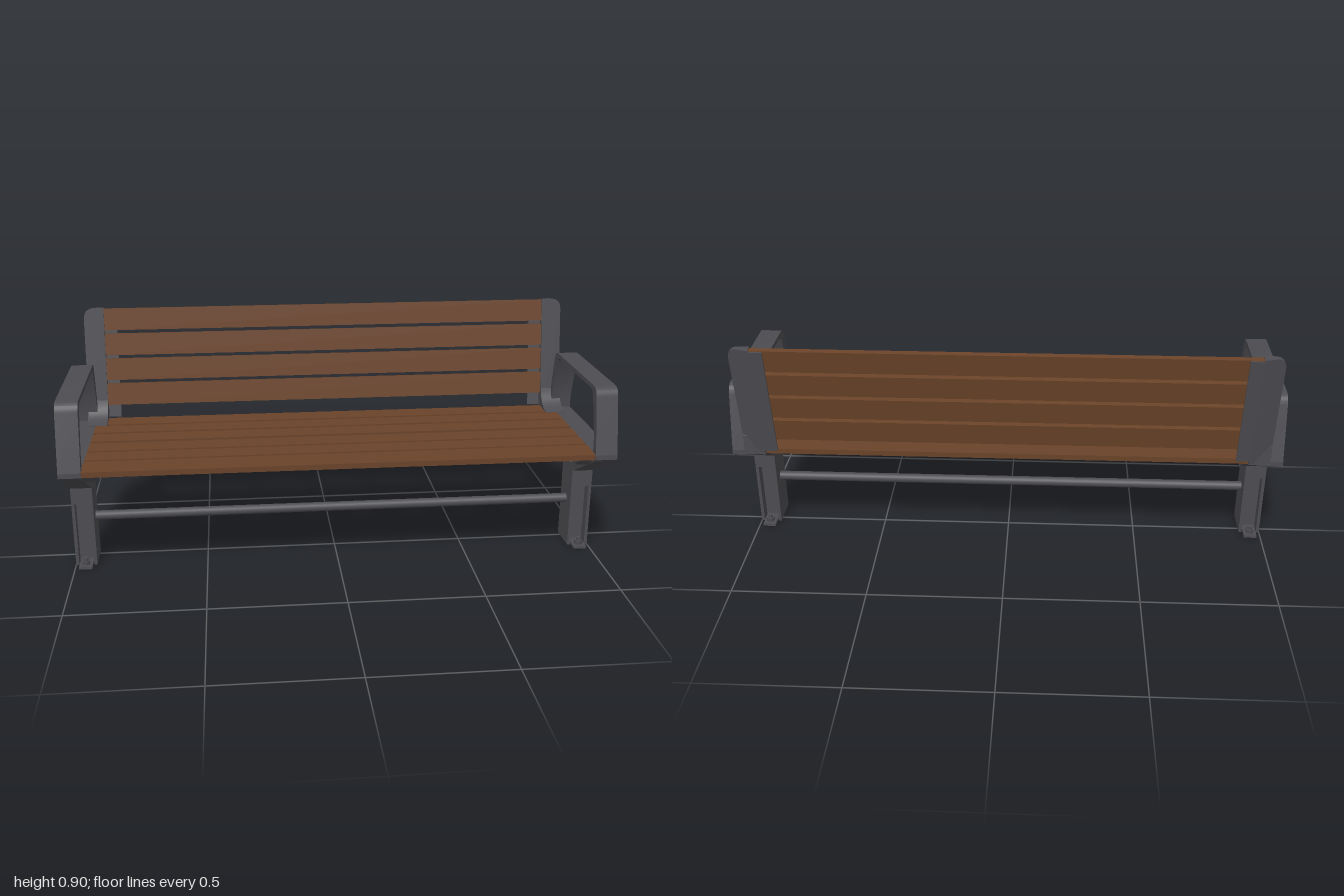
import * as THREE from 'three';
import { toCreasedNormals } from 'three/addons/utils/BufferGeometryUtils.js';

const metal = new THREE.MeshStandardMaterial({ color: 0x4d4c51 });
metal.name = 'charcoal metal';
const wood = new THREE.MeshStandardMaterial({ color: 0x6a4329 });
wood.name = 'brown wood';

const MID = 0.0375; // z of the leg centre line

function add(parent, name, geometry, material, x = 0, y = 0, z = 0) {
  const mesh = new THREE.Mesh(geometry, material);
  mesh.name = name;
  mesh.position.set(x, y, z);
  parent.add(mesh);
  return mesh;
}

function box(parent, name, material, w, h, d, x, y, z) {
  return add(parent, name, new THREE.BoxGeometry(w, h, d), material, x, y, z);
}

// Extrude a side profile drawn in (z, y) across a width in x, centred on x = 0
function sideExtrude(shape, width) {
  const g = new THREE.ExtrudeGeometry(shape, { depth: width, bevelEnabled: false, curveSegments: 10 });
  g.translate(0, 0, -width / 2);
  g.rotateY(-Math.PI / 2);
  return toCreasedNormals(g, 0.5);
}

function polygon(points) {
  return new THREE.Shape(points.map(([a, b]) => new THREE.Vector2(a, b)));
}

// H-section leg with a recess in its front and back faces
function legGeometry() {
  const w = 0.04, d = 0.0625, r = 0.028, web = 0.022;
  const shape = polygon([
    [-w, -d], [-r, -d], [-r, -web], [r, -web], [r, -d], [w, -d],
    [w, d], [r, d], [r, web], [-r, web], [-r, d], [-w, d],
  ]);
  const g = new THREE.ExtrudeGeometry(shape, { depth: 0.25, bevelEnabled: false });
  g.rotateX(-Math.PI / 2);
  return g;
}

// Solid leg head that forks into two arms
function forkShape() {
  const s = new THREE.Shape();
  const m = (z) => 2 * MID - z;
  s.moveTo(0.1, 0.25);
  s.lineTo(0.1, 0.315);
  s.lineTo(0.32, 0.433);
  s.quadraticCurveTo(0.345, 0.445, 0.347, 0.46);
  s.lineTo(0.3, 0.461);
  s.lineTo(0.085, 0.347);
  s.quadraticCurveTo(MID, 0.322, m(0.085), 0.347);
  s.lineTo(m(0.3), 0.461);
  s.lineTo(m(0.347), 0.46);
  s.quadraticCurveTo(m(0.345), 0.445, m(0.32), 0.433);
  s.lineTo(m(0.1), 0.315);
  s.lineTo(m(0.1), 0.25);
  return s;
}

// Bent flat bar, thin on top and thicker on its sloping posts
function armrestShape() {
  const s = new THREE.Shape();
  const m = (z) => 2 * MID - z;
  s.moveTo(0.347, 0.468);
  s.lineTo(0.303, 0.675);
  s.quadraticCurveTo(0.296, 0.709, 0.262, 0.709);
  s.lineTo(m(0.262), 0.709);
  s.quadraticCurveTo(m(0.296), 0.709, m(0.303), 0.675);
  s.lineTo(m(0.347), 0.468);
  s.lineTo(m(0.312), 0.468);
  s.lineTo(m(0.309), 0.525);
  s.lineTo(m(0.263), 0.672);
  s.quadraticCurveTo(m(0.256), 0.692, m(0.235), 0.692);
  s.lineTo(0.235, 0.692);
  s.quadraticCurveTo(0.256, 0.692, 0.263, 0.672);
  s.lineTo(0.309, 0.525);
  s.lineTo(0.312, 0.468);
  return s;
}

// Backrest end plate with a rounded outer top corner and a tapering back face
function endPlateGeometry(s) {
  const shape = new THREE.Shape();
  shape.moveTo(s * 0.878, 0);
  shape.lineTo(s * 0.955, 0);
  shape.lineTo(s * 0.955, 0.405);
  shape.quadraticCurveTo(s * 0.955, 0.448, s * 0.912, 0.448);
  shape.lineTo(s * 0.878, 0.448);
  const g = new THREE.ExtrudeGeometry(shape, { depth: 0.03, bevelEnabled: false, curveSegments: 8 });
  g.translate(0, 0, -0.015);
  const p = g.attributes.position;
  for (let i = 0; i < p.count; i++) {
    if (p.getZ(i) < 0) p.setZ(i, -0.015 + 0.018 * (Math.abs(p.getX(i)) - 0.878) / 0.077);
  }
  return toCreasedNormals(g, 0.5);
}

function buildSide(s) {
  const side = new THREE.Group();
  side.name = s > 0 ? 'leftSupport' : 'rightSupport';
  const x = s * 0.96;
  add(side, 'leg', legGeometry(), metal, x, 0, MID);
  add(side, 'fork', sideExtrude(forkShape(), 0.08), metal, x);
  add(side, 'armrest', sideExtrude(armrestShape(), 0.08), metal, x);
  box(side, 'seatRail', metal, 0.08, 0.018, 0.62, x, 0.459, MID);

  // Carrier under the seat slats
  const carrier = polygon([
    [0.325, 0.45], [0.285, 0.412], [0.265, 0.412], [0.245, 0.431],
    [-0.17, 0.431], [-0.19, 0.412], [-0.21, 0.412], [-0.25, 0.45],
  ]);
  add(side, 'seatCarrier', sideExtrude(carrier, 0.06), metal, s * 0.895);

  // Curved gusset between seat and backrest
  const gusset = new THREE.Shape();
  gusset.moveTo(-0.272, 0.452);
  gusset.lineTo(-0.16, 0.452);
  gusset.lineTo(-0.16, 0.471);
  gusset.quadraticCurveTo(-0.235, 0.475, -0.255, 0.545);
  gusset.lineTo(-0.272, 0.53);
  add(side, 'gusset', sideExtrude(gusset, 0.077), metal, s * 0.9165);

  // Foot tabs with bolts, front and back
  box(side, 'footPlate', metal, 0.05, 0.01, 0.205, x, 0.005, MID);
  for (const e of [-1, 1]) {
    const z = MID + e * 0.075;
    add(side, 'boltNut', new THREE.CylinderGeometry(0.016, 0.016, 0.015, 6), metal, x, 0.0175, z);
    add(side, 'boltEnd', new THREE.CylinderGeometry(0.009, 0.009, 0.013, 12), metal, x, 0.031, z);
  }
  return side;
}

export function createModel() {
  const bench = new THREE.Group();
  bench.name = 'bench';
  for (const s of [-1, 1]) bench.add(buildSide(s));

  // Tie bar between the legs
  const tie = add(bench, 'tieBar', new THREE.CylinderGeometry(0.018, 0.018, 1.86, 20), metal, 0, 0.178, MID);
  tie.rotation.z = Math.PI / 2;

  // Seat slats: [back z, front z, half length]
  const slats = [
    [0.235, 0.345, 0.922], [0.14, 0.222, 0.922], [0.042, 0.126, 0.922],
    [-0.064, 0.02, 0.922], [-0.16, -0.08, 0.922], [-0.26, -0.175, 0.878],
  ];
  const seat = new THREE.Group();
  seat.name = 'seat';
  bench.add(seat);
  for (const [a, b, half] of slats) {
    box(seat, 'seatSlat', wood, half * 2, 0.02, b - a, 0, 0.46, (a + b) / 2);
  }

  // Reclined backrest
  const back = new THREE.Group();
  back.name = 'backrest';
  back.position.set(0, 0.46, -0.261);
  back.rotation.x = -0.16;
  bench.add(back);
  for (let i = 0; i < 4; i++) {
    box(back, 'backSlat', wood, 1.76, 0.085, 0.02, 0, 0.106 + i * 0.0987, 0);
  }
  for (const s of [-1, 1]) {
    add(back, 'endPlate', endPlateGeometry(s), metal);
    box(back, 'slatBracket', metal, 0.05, 0.43, 0.006, s * 0.855, 0.228, -0.013);
  }
  return bench;
}
